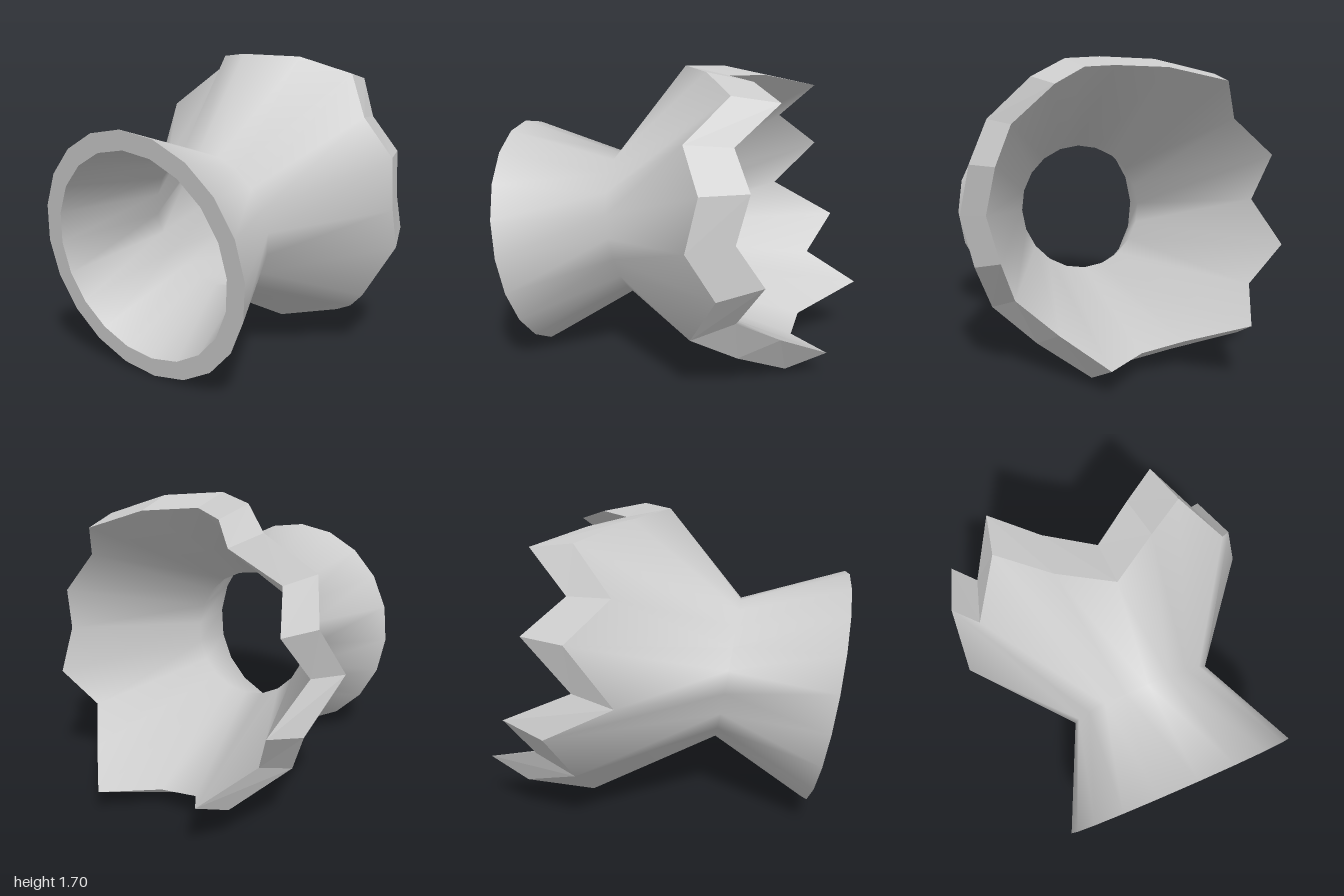
import * as THREE from 'three';

const SIDES = 20;
const TILT = 0.153; // the tube's axis rises towards the back

// Axial reach of each point on the jagged back edge, clockwise from the top
const REACH = [1.05, 1.226, 1.39, 1.157, 1.23, 1.13, 1.24, 1.04, 1.23, 1.44,
  1.21, 1.23, 1.577, 1.28, 1.45, 1.1, 1.40, 1.21, 1.47, 1.22];

// Ring of points around the tilted axis; t is the distance behind the front rim
function ring(radius, reach) {
  const points = [];
  for (let k = 0; k < SIDES; k++) {
    const a = (k / SIDES) * Math.PI * 2;
    const r = typeof radius === 'function' ? radius(k) : radius;
    const t = typeof reach === 'function' ? reach(k) : reach;
    const up = r * Math.cos(a);
    points.push(new THREE.Vector3(
      r * Math.sin(a),
      0.685 + up * Math.cos(TILT) + t * Math.sin(TILT),
      0.895 + up * Math.sin(TILT) - t * Math.cos(TILT)));
  }
  return points;
}

// Skin a series of rings, smooth or flat shaded
function skin(name, rings, flat) {
  const index = [];
  for (let i = 0; i < rings.length - 1; i++) {
    for (let k = 0; k < SIDES; k++) {
      const n = (k + 1) % SIDES;
      const a = i * SIDES + k, b = i * SIDES + n;
      const c = a + SIDES, d = b + SIDES;
      index.push(a, b, c, b, d, c);
    }
  }
  let geometry = new THREE.BufferGeometry().setFromPoints(rings.flat());
  geometry.setIndex(index);
  if (flat) geometry = geometry.toNonIndexed();
  geometry.computeVertexNormals();
  const mesh = new THREE.Mesh(geometry, new THREE.MeshStandardMaterial({ color: 0xcccccc }));
  mesh.name = name;
  return mesh;
}

export function createModel() {
  const group = new THREE.Group();
  group.name = 'jaggedFlaredTube';

  const frontOuter = ring(0.68, 0);
  const frontInner = ring(0.575, 0);
  const waistOuter = ring(0.418, 0.57);
  const waistInner = ring(0.387, 0.58);
  const backOuter = ring(k => (k === 9 ? 0.92 : 0.87), k => REACH[k]);
  const backInner = ring(k => (k === 9 ? 0.84 : 0.78), k => REACH[k] + 0.24);

  // Outer and inner walls pinch at the waist; flat rims close both ends
  group.add(skin('outerWall', [frontOuter, waistOuter, backOuter], false));
  group.add(skin('jaggedBackRim', [backOuter, backInner], true));
  group.add(skin('innerWall', [backInner, waistInner, frontInner], false));
  group.add(skin('frontRim', [frontInner, frontOuter], true));
  return group;
}
